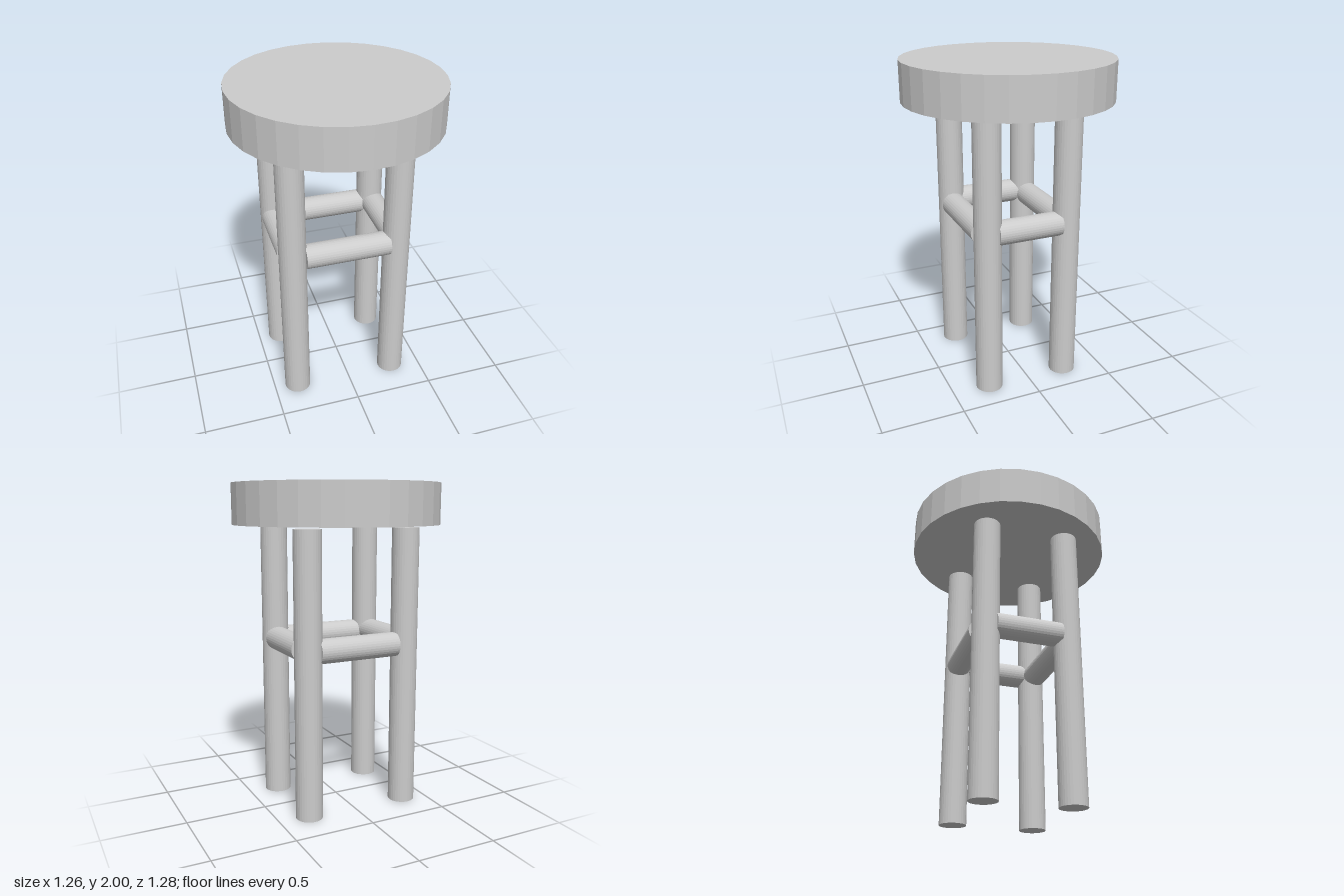
import * as THREE from 'three';

const SIDES = 32;
const material = new THREE.MeshStandardMaterial({ color: 0xcccccc, flatShading: true });

// Upright or turned round bar with flat ends
function rod(name, radius, length, x, y, z) {
  const mesh = new THREE.Mesh(new THREE.CylinderGeometry(radius, radius, length, SIDES), material);
  mesh.name = name;
  mesh.position.set(x, y, z);
  return mesh;
}

export function createModel() {
  const stool = new THREE.Group();
  stool.name = 'stool';

  // Round seat, floating slightly above the legs
  const seat = rod('seat', 1, 0.246, 0, 1.877, 0);
  seat.scale.set(0.632, 1, 0.638);
  stool.add(seat);

  // Four legs
  for (const [side, x] of [['Right', -0.347], ['Left', 0.306]]) {
    for (const [end, z] of [['front', 0.26], ['back', -0.252]]) {
      stool.add(rod(`${end}${side}Leg`, 0.083, 1.738, x, 0.869, z));
    }
  }

  // Front and back stretchers, running along x
  for (const [name, z] of [['frontStretcher', 0.268], ['backStretcher', -0.26]]) {
    const bar = rod(name, 0.075, 0.525, -0.0125, 1.028, z);
    bar.rotation.z = Math.PI / 2;
    stool.add(bar);
  }

  // Side stretchers, running along z and set slightly higher
  for (const [name, x] of [['rightStretcher', -0.355], ['leftStretcher', 0.315]]) {
    const bar = rod(name, 0.075, 0.41, x, 1.038, 0.005);
    bar.rotation.x = Math.PI / 2;
    stool.add(bar);
  }

  return stool;
}
